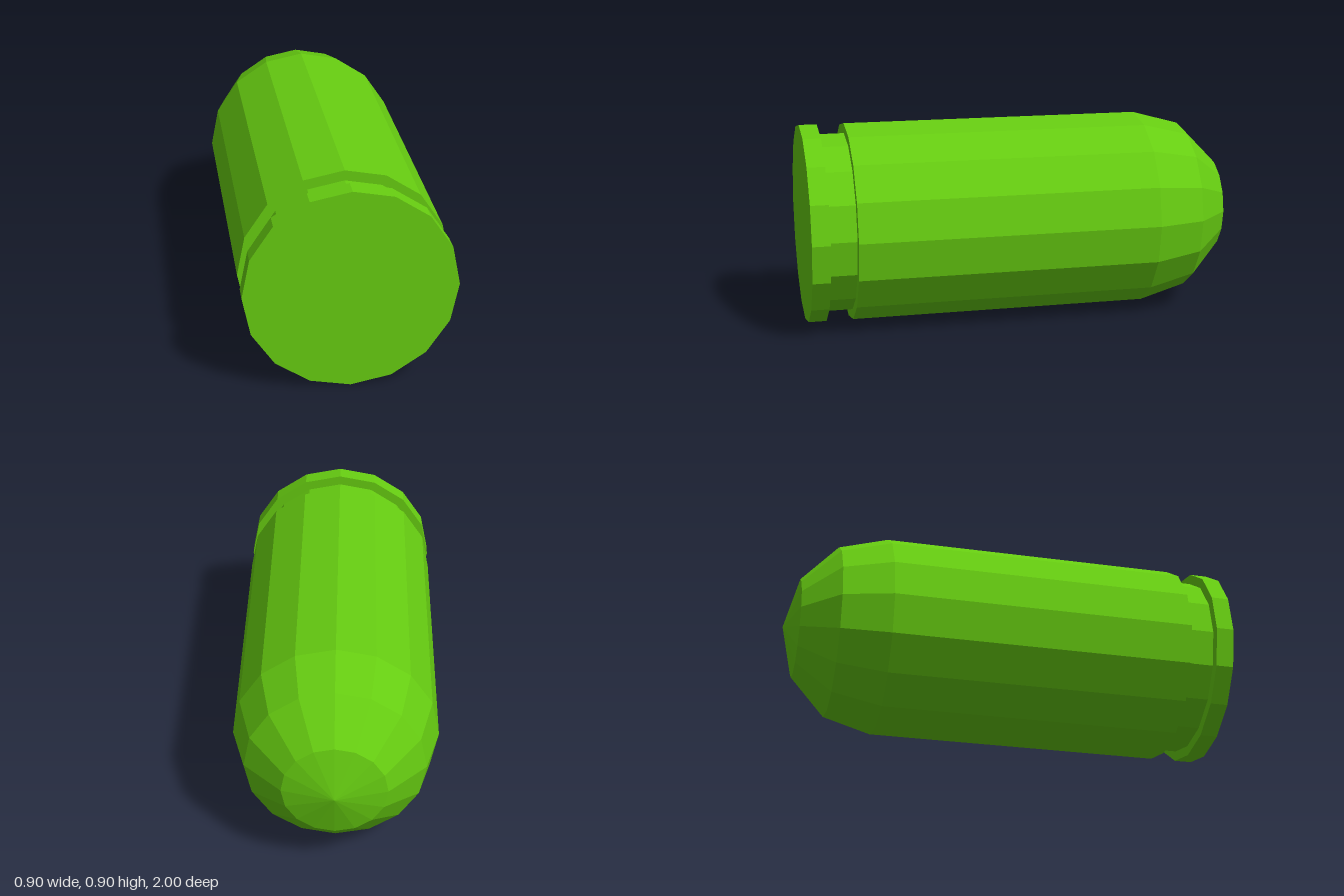
import * as THREE from 'three';

const SIDES = 16;
const RADIUS = 0.45;
const GROOVE_RADIUS = 0.405;

export function createModel() {
  const group = new THREE.Group();
  group.name = 'bullet';
  const green = new THREE.MeshStandardMaterial({ color: 0x66cc11, flatShading: true });

  // Turns a profile of [radius, z], listed from front to back, around the long axis
  function addTurned(name, profile) {
    const points = profile.map(([r, z]) => new THREE.Vector2(r, -z));
    const geometry = new THREE.LatheGeometry(points, SIDES);
    geometry.rotateX(-Math.PI / 2);
    const mesh = new THREE.Mesh(geometry, green);
    mesh.name = name;
    mesh.position.y = RADIUS;
    group.add(mesh);
  }

  // Flat base with its rim
  addTurned('rim', [[0, 1], [RADIUS, 1], [RADIUS, 0.92], [GROOVE_RADIUS, 0.92]]);

  // Recessed groove
  addTurned('groove', [[GROOVE_RADIUS, 0.92], [GROOVE_RADIUS, 0.8]]);

  // Straight casing with its front shoulder
  addTurned('casing', [[GROOVE_RADIUS, 0.8], [RADIUS, 0.8], [RADIUS, -0.56]]);

  // Domed nose in three bands
  const nose = [];
  for (let i = 0; i <= 3; i++) {
    const a = (i / 3) * Math.PI / 2;
    nose.push([i === 3 ? 0 : RADIUS * Math.cos(a), -0.56 - 0.44 * Math.sin(a)]);
  }
  addTurned('nose', nose);

  return group;
}
